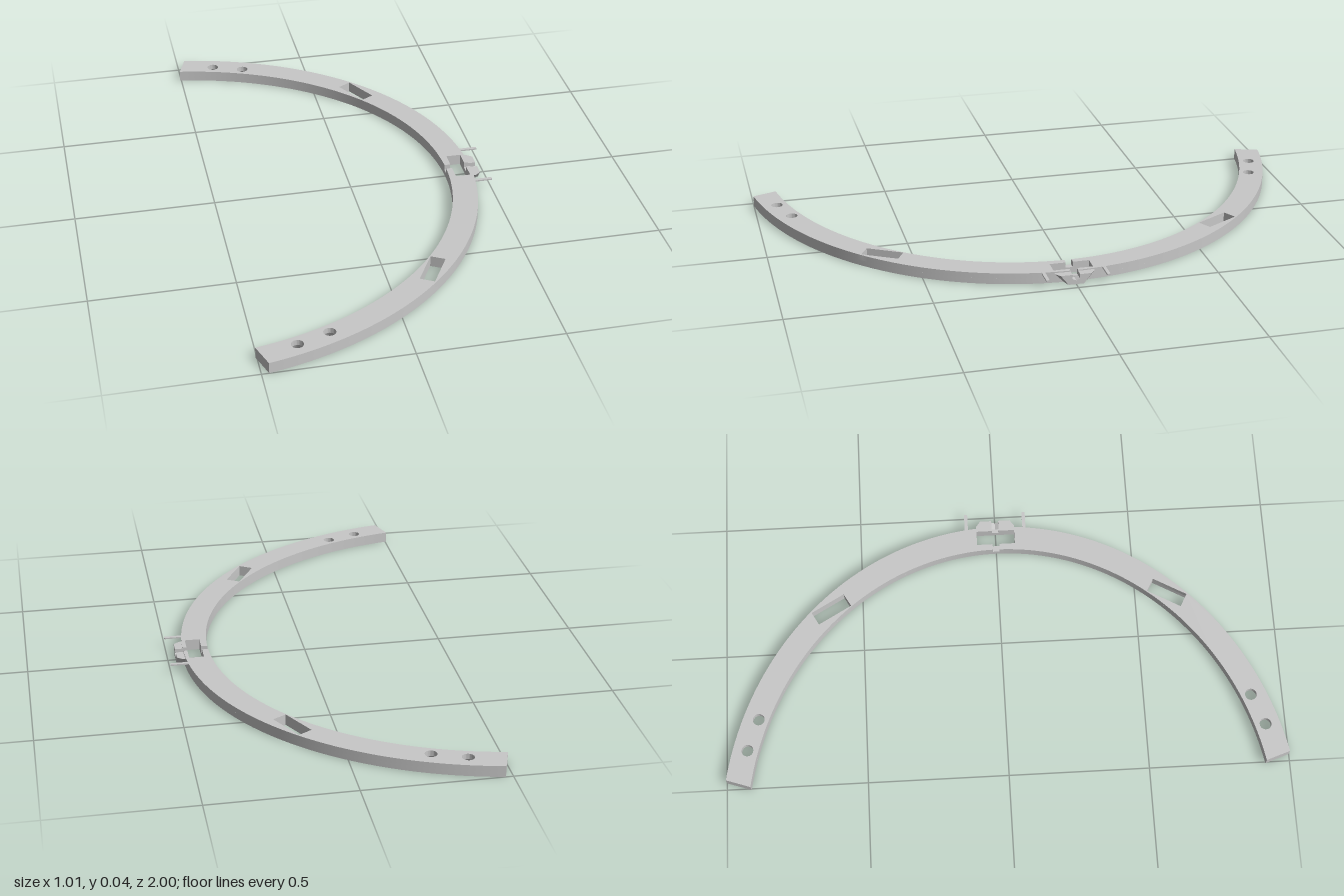
import * as THREE from 'three';
import { toCreasedNormals } from 'three/addons/utils/BufferGeometryUtils.js';

// Elliptical outer edge of the band; the inner edge is offset along the normal
const A = 1.14, B = 1.019, CX = -0.695, WIDTH = 0.09;
const HEIGHT = 0.04, SPLIT = 0.02, SLIT = 0.013;
const BOLTS = [[-0.37, 0.923], [-0.257, 0.882]];

function edgePoint(t, inset) {
  const n = new THREE.Vector2(Math.cos(t) / A, Math.sin(t) / B).normalize();
  return new THREE.Vector2(CX + A * Math.cos(t) - inset * n.x, B * Math.sin(t) - inset * n.y);
}

// One half of one layer of the band, side = 1 or -1
function halfBand(side, startZ, y0, y1, boltRadius) {
  const t0 = Math.asin(startZ / B), steps = 64;
  // the inner edge runs slightly further, which slants the end face
  const outerEnd = Math.acos(0.193), innerEnd = Math.acos(0.18);
  const points = [];
  for (let i = 0; i <= steps; i++) points.push(edgePoint(t0 + (outerEnd - t0) * i / steps, 0));
  for (let i = steps; i >= 0; i--) points.push(edgePoint(t0 + (innerEnd - t0) * i / steps, WIDTH));
  // half of the central window
  for (const [x, z] of [[0.377, startZ], [0.377, 0.07], [0.43, 0.07], [0.43, startZ]])
    points.push(new THREE.Vector2(x, z));
  const flip = (p) => new THREE.Vector2(p.x, p.y * side);
  const shape = new THREE.Shape(points.map(flip));

  // slanted slot
  const c = new THREE.Vector2(0.151, 0.614);
  const d = new THREE.Vector2(0.492, -0.87), n = new THREE.Vector2(0.87, 0.492);
  const slot = [[-1, -1], [1, -1], [1, 1], [-1, 1]].map(([u, v]) =>
    flip(c.clone().addScaledVector(d, u * 0.068).addScaledVector(n, v * 0.0265)));
  shape.holes.push(new THREE.Path(slot));

  // bolt holes
  for (const [x, z] of BOLTS) {
    shape.holes.push(new THREE.Path().absarc(x, z * side, boltRadius, 0, Math.PI * 2, true));
  }
  const geo = new THREE.ExtrudeGeometry(shape, { depth: y1 - y0, bevelEnabled: false, curveSegments: 16 });
  geo.rotateX(-Math.PI / 2).translate(0, y0, 0);
  return toCreasedNormals(geo, 0.5);
}

// Tapered clip block with a central slit, narrowing outward
function clipGeometry() {
  const x0 = 0.432, depth = 0.04;
  const shape = new THREE.Shape([
    [-0.035, 0], [0.035, 0], [0.07, 0.036], [SLIT, 0.036], [SLIT, SPLIT],
    [0, 0.014], [-SLIT, SPLIT], [-SLIT, 0.036], [-0.07, 0.036],
  ].map(([z, y]) => new THREE.Vector2(z, y)));
  const geo = new THREE.ExtrudeGeometry(shape, { depth, steps: 2, bevelEnabled: false });
  geo.rotateY(Math.PI / 2).translate(x0, 0, 0);
  const pos = geo.attributes.position;
  for (let i = 0; i < pos.count; i++) {
    const z = pos.getZ(i);
    if (pos.getX(i) > x0 + depth - 0.001 && Math.abs(z) > 0.02) pos.setZ(i, z * 0.78);
  }
  geo.computeVertexNormals();
  return geo;
}

export function createModel() {
  const model = new THREE.Group();
  const grey = new THREE.MeshStandardMaterial({ color: 0xc8c8c8, side: THREE.DoubleSide });
  grey.name = 'plain grey';
  const add = (name, geo) => {
    const mesh = new THREE.Mesh(geo, grey);
    mesh.name = name;
    model.add(mesh);
    return mesh;
  };

  for (const side of [1, -1]) {
    const label = side > 0 ? 'front' : 'back';
    add(label + 'LowerBand', halfBand(side, 0, 0, SPLIT, 0.031));
    add(label + 'UpperBand', halfBand(side, SLIT, SPLIT, HEIGHT, 0.021));
    // countersinks on the underside
    for (const [x, z] of BOLTS) {
      add(label + 'Countersink', new THREE.CylinderGeometry(0.021, 0.031, SPLIT, 32, 1, true))
        .position.set(x, SPLIT / 2, z * side);
    }
    // thin pins beside the clip
    add(label + 'Pin', new THREE.BoxGeometry(0.07, 0.005, 0.012))
      .position.set(0.466, HEIGHT - 0.0026, 0.107 * side);
  }
  add('clipBlock', clipGeometry());
  return model;
}
